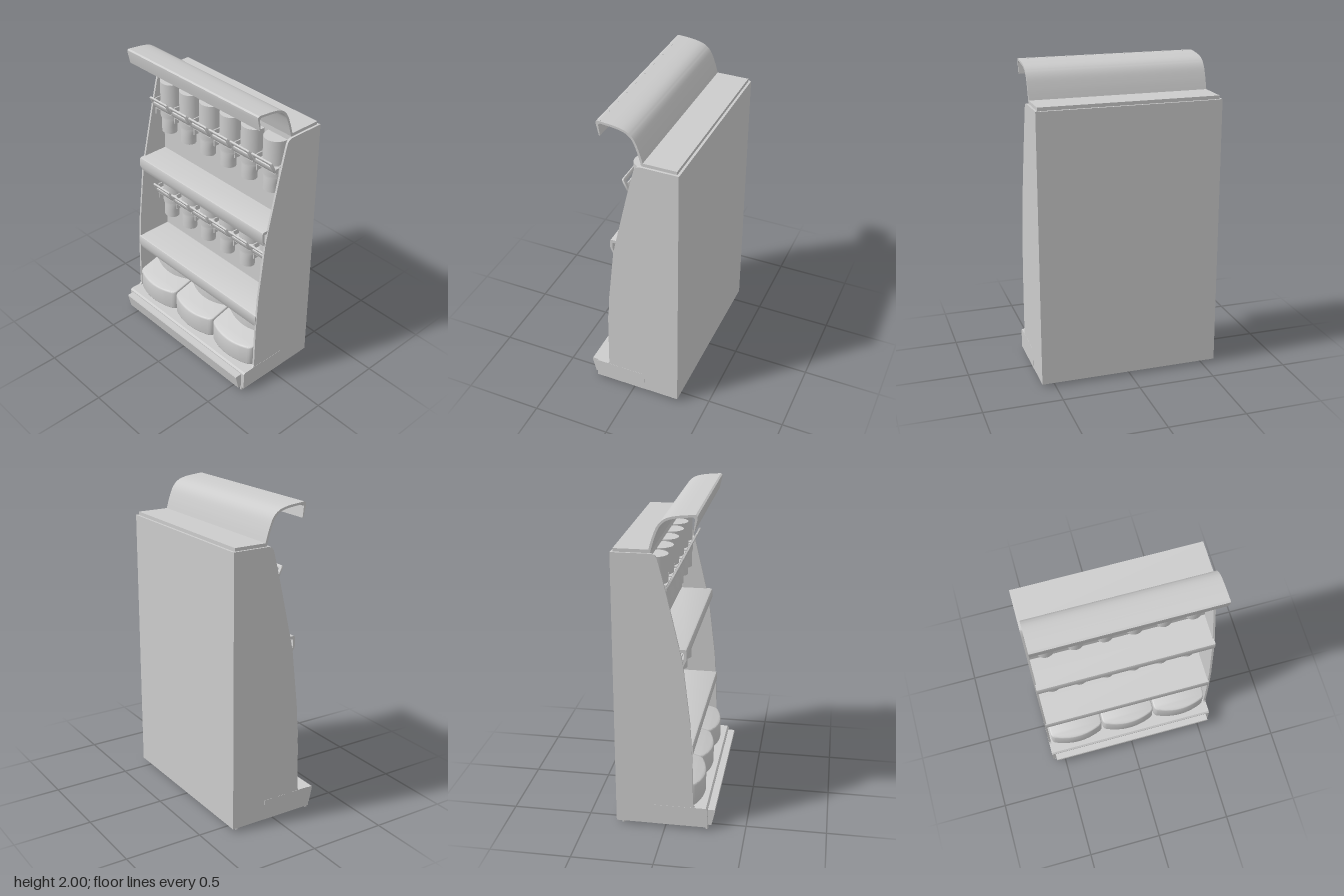
import * as THREE from 'three';
import { toCreasedNormals } from 'three/addons/utils/BufferGeometryUtils.js';

const grey = new THREE.MeshStandardMaterial({ color: 0xcccccc, side: THREE.DoubleSide });
const V2 = (p) => new THREE.Vector2(p[0], p[1]);

function add(parent, name, geometry, x = 0, y = 0, z = 0) {
  const mesh = new THREE.Mesh(geometry, grey);
  mesh.name = name;
  mesh.position.set(x, y, z);
  parent.add(mesh);
  return mesh;
}

// Box given by its limits in x, y and z
function box(parent, name, x0, x1, y0, y1, z0, z1) {
  return add(parent, name, new THREE.BoxGeometry(x1 - x0, y1 - y0, z1 - z0),
    (x0 + x1) / 2, (y0 + y1) / 2, (z0 + z1) / 2);
}

// Side profile of [z, y] points, extruded across a width in x
function across(points, width) {
  const g = new THREE.ExtrudeGeometry(new THREE.Shape(points.map(V2)), { depth: width, bevelEnabled: false });
  g.translate(0, 0, -width / 2).rotateY(-Math.PI / 2);
  return toCreasedNormals(g, 0.5);
}

// Band of even thickness along a smooth line of [z, y] points
function band(points, thickness, samples) {
  const curve = new THREE.SplineCurve(points.map(V2));
  const outer = [], inner = [];
  for (let i = 0; i <= samples; i++) {
    const p = curve.getPoint(i / samples), t = curve.getTangent(i / samples);
    outer.push([p.x, p.y]);
    inner.unshift([p.x - t.y * thickness, p.y + t.x * thickness]);
  }
  return outer.concat(inner);
}

function roundedRect(path, w, h, r) {
  path.absarc(w / 2 - r, h / 2 - r, r, 0, Math.PI / 2);
  path.absarc(-w / 2 + r, h / 2 - r, r, Math.PI / 2, Math.PI);
  path.absarc(-w / 2 + r, -h / 2 + r, r, Math.PI, Math.PI * 1.5);
  path.absarc(w / 2 - r, -h / 2 + r, r, Math.PI * 1.5, Math.PI * 2);
  path.closePath();
  return path;
}

// Block with a bulging front, softened edges and a top rising to the back
function binBlock(halfWidth, back, corner, bulge, y0, y1, slope) {
  const b = 0.01, w = halfWidth - b;
  const s = new THREE.Shape();
  s.moveTo(-w, -back);
  s.lineTo(-w, -corner + 0.02);
  s.quadraticCurveTo(-w, -corner, -w + 0.025, -corner - 0.008);
  s.quadraticCurveTo(0, -bulge, w - 0.025, -corner - 0.008);
  s.quadraticCurveTo(w, -corner, w, -corner + 0.02);
  s.lineTo(w, -back);
  const g = new THREE.ExtrudeGeometry(s, {
    depth: y1 - y0 - 2 * b, bevelThickness: b, bevelSize: b, bevelSegments: 3, curveSegments: 14,
  });
  g.rotateX(-Math.PI / 2).translate(0, y0 + b, 0);
  const p = g.attributes.position;
  for (let i = 0; i < p.count; i++) {
    if (p.getY(i) > (y0 + y1) / 2) p.setY(i, p.getY(i) + slope * Math.max(0, 0.22 - p.getZ(i)));
  }
  return toCreasedNormals(g, 0.6);
}

// Spout narrowing downward and bending forward; its top is at y = 0
function spoutGeometry() {
  const g = new THREE.CylinderGeometry(1, 1, 1, 28, 10);
  const p = g.attributes.position;
  for (let i = 0; i < p.count; i++) {
    const t = p.getY(i) + 0.5;
    const k = THREE.MathUtils.smoothstep(t, 0.2, 0.9);
    const w = 0.054 + 0.022 * k;
    p.setXYZ(i, p.getX(i) * w, (t - 1) * 0.165, p.getZ(i) * (0.046 + 0.026 * k) + 0.03 * (1 - k));
  }
  g.computeVertexNormals();
  return toCreasedNormals(g.toNonIndexed(), 0.7);
}

function labelFrameGeometry() {
  const s = roundedRect(new THREE.Shape(), 0.165, 0.085, 0.012);
  const upper = roundedRect(new THREE.Path(), 0.13, 0.024, 0.01);
  const hole = new THREE.Path(upper.getPoints(6).map((q) => new THREE.Vector2(q.x, q.y + 0.014)));
  s.holes.push(hole);
  const g = new THREE.ExtrudeGeometry(s, {
    depth: 0.006, bevelThickness: 0.003, bevelSize: 0.003, bevelSegments: 2, curveSegments: 6,
  });
  return toCreasedNormals(g, 0.6);
}

export function createModel() {
  const model = new THREE.Group();
  model.name = 'dispenserShelf';
  const BACK = -0.31, WALL = -0.08;

  // Cabinet
  const sideProfile = [[BACK, 0.02], [0.265, 0.02], [0.265, 0.14], [0.255, 0.15], [0.185, 0.152], [0.175, 0.165],
    [0.17, 0.45], [0.155, 0.72], [0.11, 1.11], [0.09, 1.2], [0.01, 1.55], [-0.03, 1.71],
    [-0.04, 1.745], [-0.052, 1.762], [-0.07, 1.77], [BACK, 1.77]];
  for (const s of [-1, 1]) add(model, 'sidePanel', across(sideProfile, 0.014), s * 0.577);
  box(model, 'backCabinet', -0.57, 0.57, 0.02, 1.768, BACK, WALL);
  add(model, 'base', across([[WALL, 0.02], [0.265, 0.02], [0.265, 0.14], [0.255, 0.152], [WALL, 0.152]], 1.17));
  add(model, 'kickPlate', across([[0.262, 0.025], [0.288, 0.025], [0.311, 0.125], [0.308, 0.133], [0.262, 0.133]], 1.12));
  for (const x of [-0.56, 0.56]) for (const z of [-0.27, 0.26]) {
    add(model, 'foot', new THREE.CylinderGeometry(0.009, 0.009, 0.03, 16), x, 0.015, z);
  }

  // Canopy on the top plate
  box(model, 'topPlate', -0.57, 0.57, 1.765, 1.79, -0.295, -0.08);
  const hood = band([[-0.092, 1.778], [-0.068, 1.86], [-0.038, 1.93], [0.005, 1.97], [0.07, 1.989], [0.18, 2.0]]
    .reverse(), 0.014, 28);
  add(model, 'canopy', across(hood, 1.14));
  add(model, 'canopyLip', across([[0.165, 1.999], [0.18, 2], [0.191, 1.994], [0.19, 1.975], [0.174, 1.905],
    [0.168, 1.906], [0.176, 1.975], [0.165, 1.986]], 1.14));

  // Shelves with a rounded lip and a slanted underside
  for (const [top, front] of [[1.198, 0.132], [0.58, 0.172]]) {
    add(model, 'shelf', across([[WALL, top], [front - 0.012, top], [front - 0.003, top - 0.004], [front, top - 0.014],
      [front, top - 0.064], [front - 0.022, top - 0.11], [front - 0.03, top - 0.108],
      [front - 0.016, top - 0.062], [front - 0.016, top - 0.02], [WALL, top - 0.02]], 1.155));
  }

  // Two rows of six dispensers
  const tank = new THREE.CylinderGeometry(0.078, 0.078, 0.25, 32);
  const collar = toCreasedNormals(new THREE.CylinderGeometry(0.082, 0.08, 0.05, 32).toNonIndexed(), 0.6);
  const spout = spoutGeometry();
  const frame = labelFrameGeometry();
  for (const y of [1.74, 1.08]) {
    const row = new THREE.Group();
    row.name = 'dispenserRow';
    row.position.y = y;
    model.add(row);
    box(row, 'rail', -0.57, 0.57, -0.295, -0.2, WALL - 0.01, -0.06);
    for (let i = 0; i < 6; i++) {
      const x = (i - 2.5) * 0.1865;
      const d = new THREE.Group();
      d.name = 'dispenser';
      d.position.set(x, 0, -0.07);
      row.add(d);
      add(d, 'tank', tank, 0, -0.125, 0);
      add(d, 'collar', collar, 0, -0.215, 0);
      add(d, 'spout', spout, 0, -0.187, 0);
      box(d, 'bracket', -0.08, 0.08, -0.2, -0.165, 0, 0.08);
      const f = add(d, 'labelFrame', frame, 0, -0.145, 0.098);
      f.rotation.x = 0.45;
    }
    for (let i = 0; i <= 6; i++) {
      const x = (i - 3) * 0.1865;
      box(row, 'divider', x - 0.004, x + 0.004, -0.255, -0.14, WALL, -0.005);
    }
  }

  // Three stepped bins
  const lower = binBlock(0.184, WALL, 0.178, 0.245, 0.154, 0.292, 0.26);
  const upper = binBlock(0.182, WALL, 0.03, 0.105, 0.2, 0.466, 0);
  for (const x of [-0.376, 0, 0.376]) {
    add(model, 'binFront', lower, x);
    add(model, 'binBack', upper, x);
  }
  return model;
}
